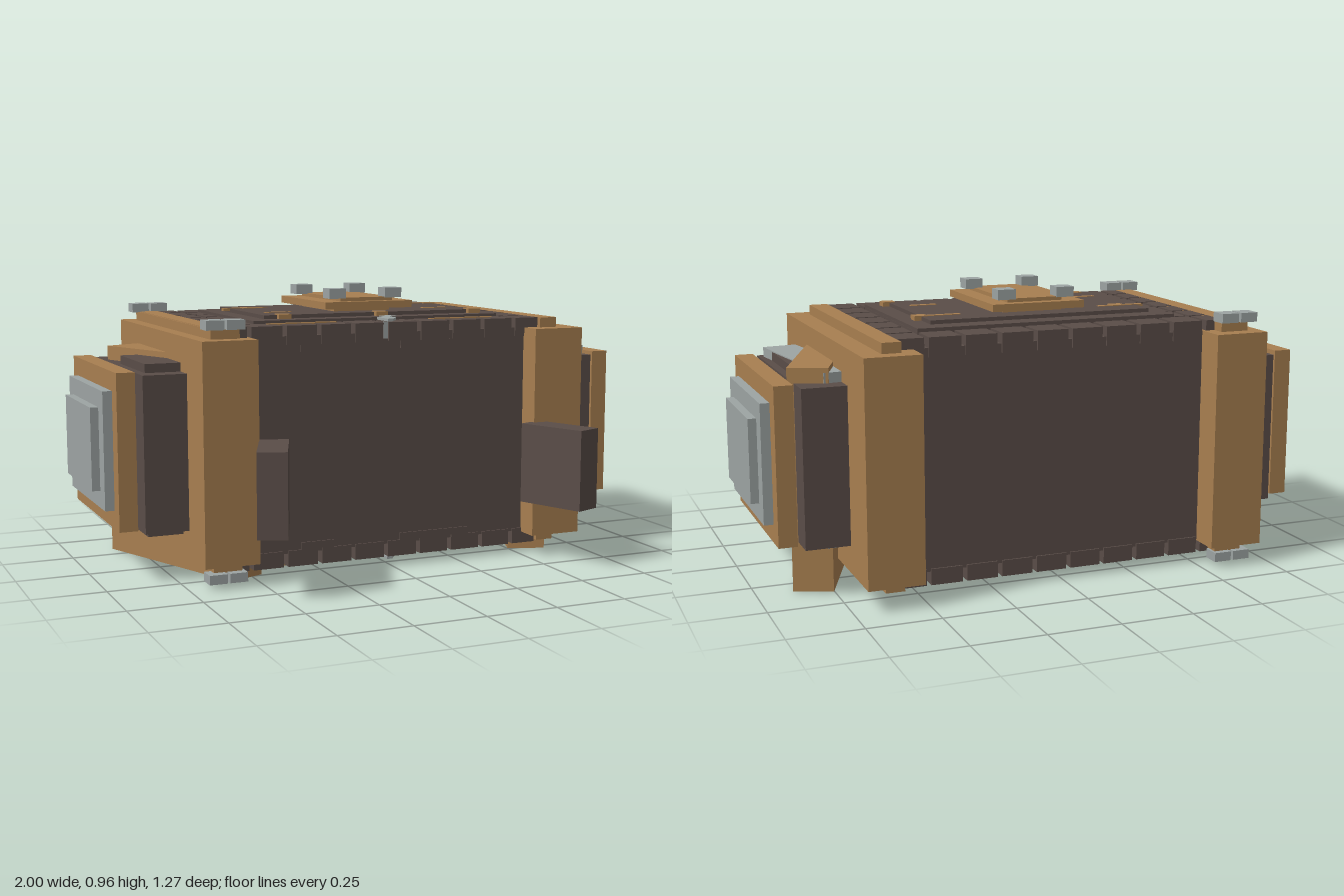
import * as THREE from 'three';

export function createModel() {
  const model = new THREE.Group();
  const mat = (name, color) => {
    const m = new THREE.MeshStandardMaterial({ color });
    m.name = name;
    return m;
  };
  const dark = mat('dark brown', 0x5a4d48);
  const tan = mat('tan', 0xa87f50);
  const grey = mat('pale grey', 0x9da4a3);

  // Box given by its low and high limits on each axis
  function box(name, material, [x0, x1], [y0, y1], [z0, z1]) {
    const mesh = new THREE.Mesh(new THREE.BoxGeometry(x1 - x0, y1 - y0, z1 - z0), material);
    mesh.position.set((x0 + x1) / 2, (y0 + y1) / 2, (z0 + z1) / 2);
    mesh.name = name;
    model.add(mesh);
    return mesh;
  }
  // Box given by centre and size on the ground plane, turned about y
  function turned(name, material, x, z, w, d, [y0, y1], yaw) {
    const mesh = box(name, material, [x - w / 2, x + w / 2], [y0, y1], [z - d / 2, z + d / 2]);
    mesh.rotation.y = yaw;
    return mesh;
  }
  const side = (s, a, b) => (s > 0 ? [a, b] : [-b, -a]);

  // Central body
  box('body', dark, [-0.55, 0.55], [0.08, 0.82], [-0.53, 0.305]);

  // Square tiles: full grid below, border only on top
  const pitch = 0.124, tile = 0.108;
  for (let i = 0; i < 10; i++) {
    for (let j = 0; j < 7; j++) {
      const x = -0.582 + i * pitch, z = -0.482 + j * 0.123;
      const xr = [Math.max(x - tile / 2, -0.59), Math.min(x + tile / 2, 0.57)];
      const zr = [z - tile / 2, z + tile / 2];
      box('bottomTile', dark, xr, [0.035, 0.09], zr);
      if (i < 2 || i > 7 || j === 0 || j === 6) box('topTile', dark, xr, [0.79, 0.855], zr);
    }
  }
  // Uneven lips under the tile edges
  for (const [x0, x1] of [[-0.34, -0.22], [0.03, 0.3]]) {
    box('upperLip', dark, [x0, x1], [0.765, 0.79], [0.3, 0.31]);
    box('lowerLip', dark, [x0, x1], [0.09, 0.115], [0.3, 0.31]);
  }

  // Stepped top plates
  box('lowerTopPlate', dark, [-0.467, 0.463], [0.82, 0.865], [-0.417, 0.2]);
  box('upperTopPlate', dark, [-0.405, 0.395], [0.865, 0.878], [-0.345, 0.135]);

  // Hatch with four bolts
  box('hatchNeck', tan, [-0.11, 0.105], [0.875, 0.892], [-0.26, 0.05]);
  box('hatchPlate', tan, [-0.17, 0.165], [0.89, 0.915], [-0.32, 0.115]);
  box('hatchLid', tan, [-0.1, 0.1], [0.915, 0.928], [-0.285, 0.085]);
  for (const x of [-0.112, 0.103])
    for (const z of [-0.26, 0.06])
      box('hatchBolt', grey, [x - 0.032, x + 0.032], [0.925, 0.96], [z - 0.03, z + 0.03]);

  // Pegs through top and bottom
  for (const x of [-0.335, 0.03, 0.397])
    for (const z of [-0.232, 0.135]) {
      box('topPeg', tan, [x - 0.023, x + 0.023], [0.85, 0.881], [z - 0.021, z + 0.021]);
      box('bottomPeg', tan, [x - 0.023, x + 0.023], [0, 0.09], [z - 0.021, z + 0.021]);
    }

  // Slim bars lying on the top
  for (const [x0, x1, z, y] of [
    [-0.43, -0.26, -0.238, 0.88], [0.255, 0.42, -0.238, 0.88],
    [-0.36, -0.26, 0.015, 0.88], [0.255, 0.35, 0.015, 0.88],
    [-0.43, -0.18, 0.235, 0.858], [0.175, 0.42, 0.235, 0.858],
  ]) box('topBar', tan, [x0, x1], [y - 0.01, y], [z - 0.01, z + 0.01]);

  // Pale chipped patch on top and bottom
  const chip = new THREE.Shape();
  [[0.01, 0.13], [0.045, 0.13], [0.07, 0.19], [0.03, 0.21], [0.035, 0.26], [0, 0.31], [-0.02, 0.31], [-0.02, 0.22], [0.025, 0.19]]
    .forEach(([x, z], i) => (i ? chip.lineTo(x, -z) : chip.moveTo(x, -z)));
  for (const y of [0.858, 0.026]) {
    const patch = new THREE.Mesh(new THREE.ExtrudeGeometry(chip, { depth: 0.009, bevelEnabled: false }), grey);
    patch.rotation.x = -Math.PI / 2;
    patch.position.y = y;
    patch.name = 'chippedPatch';
    model.add(patch);
  }
  box('chippedEdge', grey, [-0.035, -0.02], [0.8, 0.858], [0.305, 0.311]);

  for (const s of [1, -1]) {
    // Big end frames with rails above and below
    box('endFrame', tan, side(s, 0.517, 0.707), [0.076, 0.82], [-0.638, 0.39]);
    const rail = s > 0 ? [0.57, 0.635] : [-0.655, -0.59];
    box('topRail', tan, rail, [0.82, 0.855], [-0.585, 0.33]);
    box('bottomRail', tan, rail, [0.044, 0.08], [-0.585, 0.33]);

    // Side units: dark block, tan plate, two pale panels
    box('sideBlock', dark, side(s, 0.7, 0.857), [0.17, 0.7], [-0.442, 0.217]);
    box('sideBlockCore', dark, side(s, 0.7, 0.83), [0.145, 0.73], [-0.17, 0.147]);
    box('sidePlate', tan, side(s, 0.877, 0.94), [0.18, 0.71], [-0.42, 0.197]);
    box('sidePanel', grey, side(s, 0.938, 0.972), [0.243, 0.645], [-0.356, 0.137]);
    box('sidePanelInset', grey, side(s, 0.97, 1), [0.302, 0.585], [-0.295, 0.075]);

    // Slanted braces and front fins share a slight sideways shift
    const yaw = -s * 0.383;
    turned('slantedBrace', tan, s > 0 ? 0.69 : -0.648, -0.047, 0.135, 0.67, [0, 0.75], yaw);
    turned('frontFin', dark, s > 0 ? 0.559 : -0.507, 0.492, 0.098, 0.256, [0.207, 0.488], -yaw);
  }

  // Pale wedge crossing the brace on the left side
  turned('crossingWedge', grey, 0.745, -0.09, 0.12, 0.57, [0.148, 0.734], 0.13);
  box('wedgeTip', grey, [0.737, 0.768], [0.145, 0.29], [0.2, 0.222]);

  // Paired bolts at the ends of one frame
  for (const x of [-0.653, -0.582])
    for (const z of [-0.575, 0.33])
      for (const y of [0.852, 0.014])
        box('frameBolt', grey, [x - 0.031, x + 0.031], [y, y + 0.032], [z - 0.031, z + 0.031]);
  for (const y of [[0.82, 0.853], [0.045, 0.08]])
    box('boltRail', tan, [-0.66, -0.56], y, [-0.585, 0.33]);

  return model;
}
